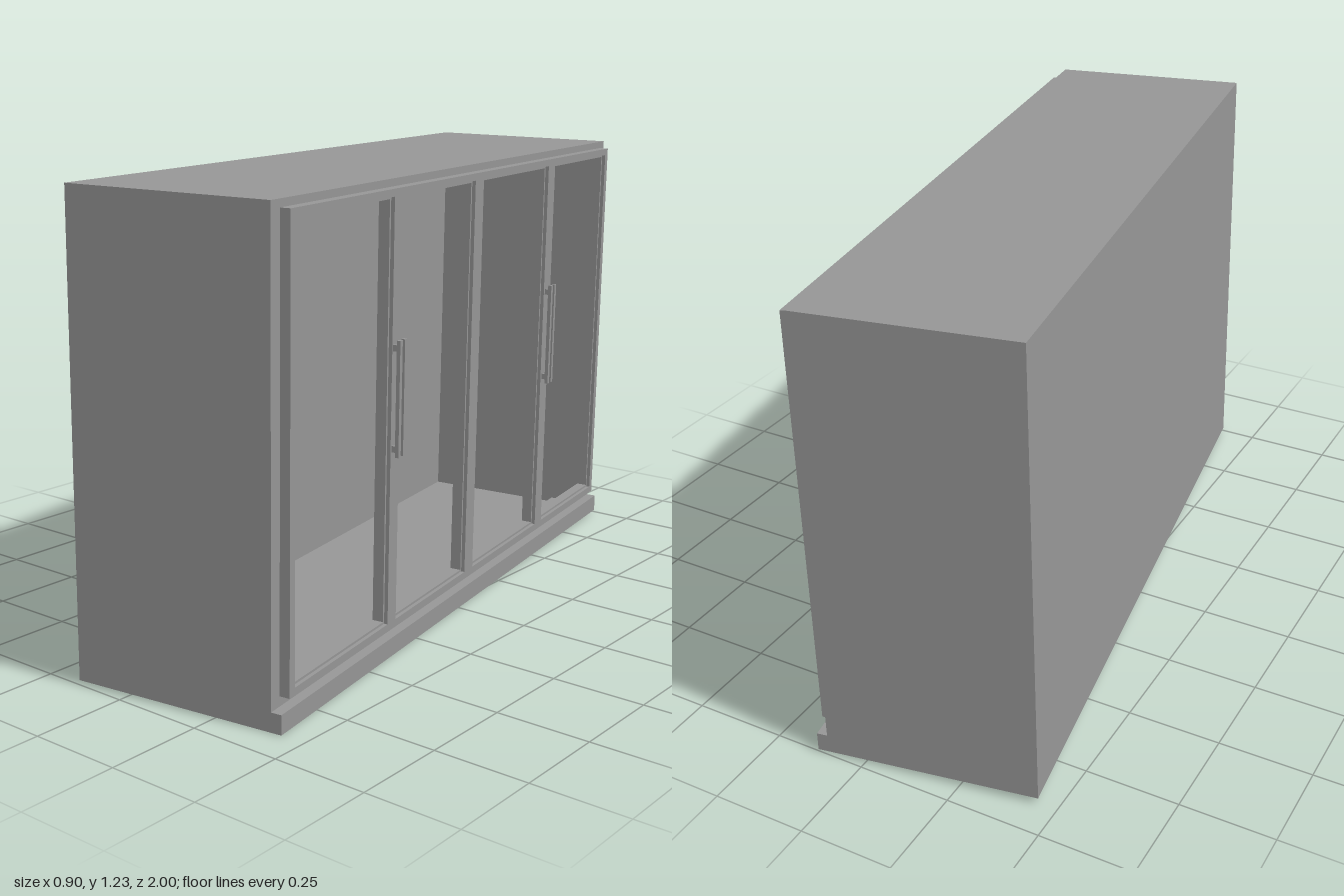
import * as THREE from 'three';

const DEPTH = 0.557, LENGTH = 1.93, HEIGHT = 1.216, WALL = 0.005;
const FRONT = DEPTH / 2;
const material = new THREE.MeshStandardMaterial({ color: 0x969696, flatShading: true });

// Box given by its minimum and maximum on each axis
function box(name, x0, x1, y0, y1, z0, z1) {
  const geometry = new THREE.BoxGeometry(x1 - x0, y1 - y0, z1 - z0);
  geometry.translate((x0 + x1) / 2, (y0 + y1) / 2, (z0 + z1) / 2);
  const mesh = new THREE.Mesh(geometry, material);
  mesh.name = name;
  return mesh;
}

function rectangle(path, z0, z1, y0, y1) {
  path.moveTo(-z1, y0);
  path.lineTo(-z0, y0);
  path.lineTo(-z0, y1);
  path.lineTo(-z1, y1);
  path.closePath();
  return path;
}

// Rectangular frame standing in the z-y plane; outer and holes are [z0, z1, y0, y1]
function frame(name, x0, x1, outer, ...holes) {
  const shape = rectangle(new THREE.Shape(), ...outer);
  for (const hole of holes) shape.holes.push(rectangle(new THREE.Path(), ...hole));
  const geometry = new THREE.ExtrudeGeometry(shape, { depth: x1 - x0, bevelEnabled: false });
  geometry.rotateY(Math.PI / 2);
  geometry.translate(x0, 0, 0);
  const mesh = new THREE.Mesh(geometry, material);
  mesh.name = name;
  return mesh;
}

// Two upright grips on short posts, either side of a pair's meeting stiles
function handlePair(z) {
  const group = new THREE.Group();
  group.name = 'handlePair';
  for (const side of [-1, 1]) {
    const c = z + side * 0.012;
    group.add(box('grip', FRONT + 0.039, FRONT + 0.049, 0.535, 0.83, c - 0.006, c + 0.006));
    for (const y of [0.555, 0.81]) {
      group.add(box('gripPost', FRONT + 0.027, FRONT + 0.04, y - 0.008, y + 0.008, c - 0.004, c + 0.004));
    }
  }
  return group;
}

export function createModel() {
  const cabinet = new THREE.Group();
  cabinet.name = 'cabinet';
  const half = LENGTH / 2;

  // Thin open-fronted carcass
  const sleeve = [-half, half, 0, HEIGHT];
  cabinet.add(frame('carcass', -FRONT + WALL, FRONT - 0.02, sleeve,
    [-half + WALL, half - WALL, WALL, HEIGHT - WALL]));
  cabinet.add(box('backPanel', -FRONT, -FRONT + WALL, 0, HEIGHT, -half, half));

  // Shallow lining behind the front, and the face frame the doors close on
  cabinet.add(frame('lining', FRONT - 0.115, FRONT - 0.02,
    [-half + 0.003, half - 0.003, 0.003, HEIGHT - 0.003],
    [-half + 0.026, half - 0.026, 0.026, HEIGHT - 0.026]));
  cabinet.add(frame('faceFrame', FRONT - 0.02, FRONT, sleeve, [-0.918, 0.918, 0.088, 1.193]));

  // Projecting plinth along the foot
  cabinet.add(box('plinth', FRONT, FRONT + 0.028, 0, 0.05, -half, half));

  // Row of four open doors with a narrow seal inside each
  const openings = [[0.467, 0.908], [0.024, 0.424], [-0.462, -0.026], [-0.91, -0.509]];
  const holes = (d) => openings.map(([z0, z1]) => [z0 + d, z1 - d, 0.095 + d, 1.178 - d]);
  cabinet.add(frame('doorFrames', FRONT + 0.001, FRONT + 0.028, [-0.93, 0.93, 0.076, 1.197], ...holes(0)));
  cabinet.add(frame('doorSeals', FRONT - 0.012, FRONT + 0.018, [-0.917, 0.917, 0.089, 1.19], ...holes(0.006)));

  cabinet.add(handlePair(0.447), handlePair(-0.485));

  // The cabinet stands turned and leaning slightly toward its doors
  cabinet.rotation.set(0, THREE.MathUtils.degToRad(9.12), THREE.MathUtils.degToRad(-1.1), 'ZYX');
  cabinet.position.set(-0.022, 0.009, 0.001);

  const model = new THREE.Group();
  model.name = 'doorCabinet';
  model.add(cabinet);
  return model;
}
